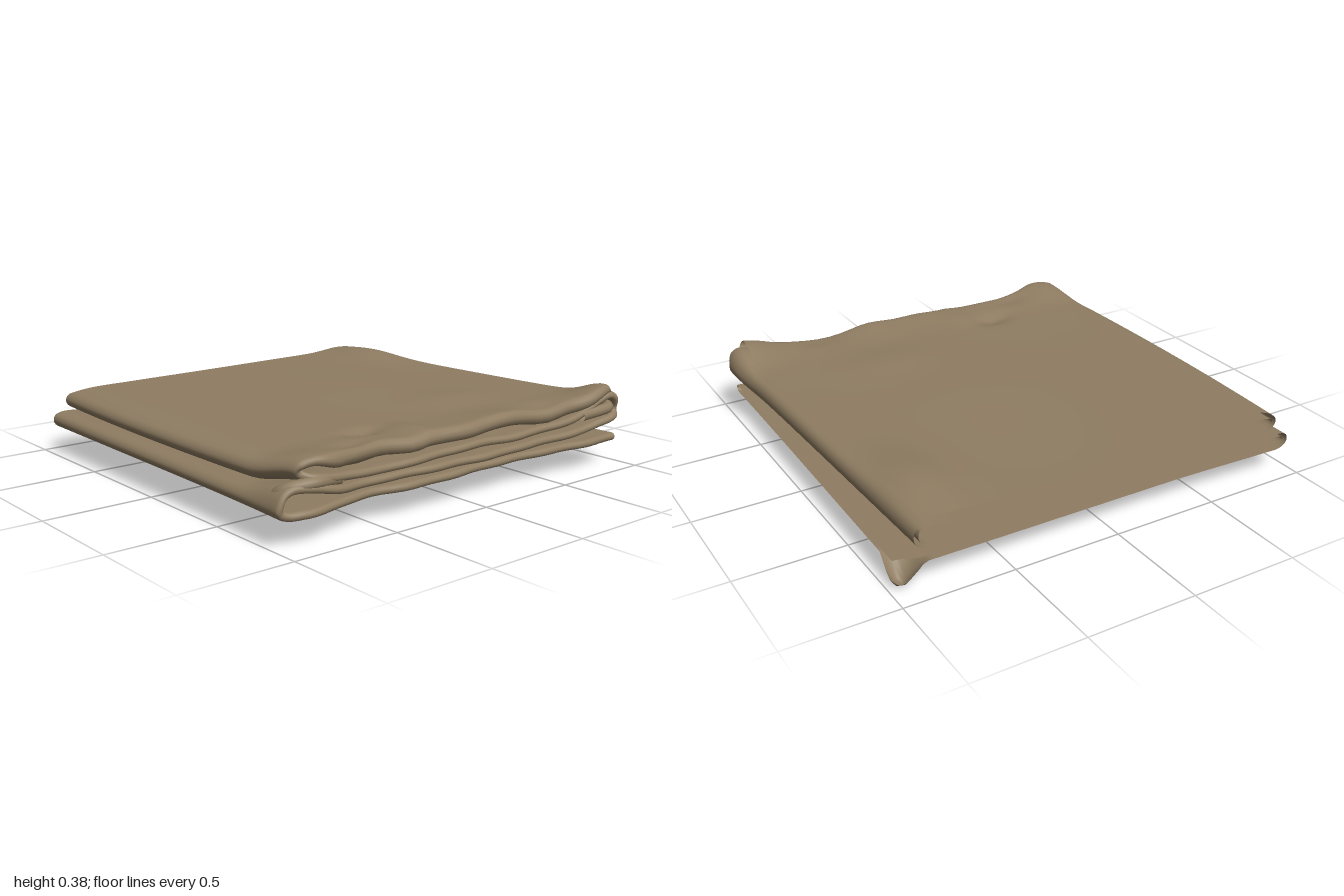
import * as THREE from 'three';

const cloth = new THREE.MeshStandardMaterial({ color: 0x8f7d62, side: THREE.DoubleSide });
cloth.name = 'tan cloth';

const { lerp, smoothstep, clamp } = THREE.MathUtils;
// soft round bump of height 1 centred on (cx, cz)
const bump = (x, z, cx, cz, rx, rz) => Math.exp(-(((x - cx) / rx) ** 2) - ((z - cz) / rz) ** 2);

// zigzag path of the folded cloth seen from the side, as [z, y]
const zigzag = [
  [-0.97, 0.125], [-0.9, 0.125], [-0.75, 0.125], [-0.5, 0.124], [-0.2, 0.124], [0.1, 0.124], [0.4, 0.124],
  [0.7, 0.125], [0.87, 0.125], [0.93, 0.125],
  [0.962, 0.137], [0.972, 0.154], [0.962, 0.172], [0.93, 0.183],            // lower front fold
  [0.85, 0.182], [0.6, 0.174], [0.3, 0.17], [0, 0.169], [-0.3, 0.169], [-0.6, 0.171], [-0.8, 0.178], [-0.86, 0.185],
  [-0.89, 0.2], [-0.9, 0.23], [-0.89, 0.258], [-0.86, 0.27],                // back fold
  [-0.78, 0.262], [-0.6, 0.238], [-0.3, 0.224], [0, 0.22], [0.3, 0.218], [0.6, 0.217], [0.8, 0.216], [0.88, 0.217],
  [0.913, 0.23], [0.924, 0.25], [0.913, 0.27], [0.88, 0.283],               // upper front fold
  [0.8, 0.292], [0.6, 0.294], [0.3, 0.295], [0, 0.296], [-0.3, 0.298], [-0.6, 0.3], [-0.75, 0.302], [-0.835, 0.302],
];

// open side: edges of the two sheets, stepped inwards on the top layer
function openEdge(z, layer, side) {
  const low = 1 - smoothstep(layer, 0.4, 0.6), top = smoothstep(layer, 0.85, 1);
  return -0.915 - 0.02 * low * smoothstep(z, 0.3, 0.95) + 0.014 * top * (1 + side) - 0.004 * side * low
    + 0.035 * smoothstep(-z, 0.85, 0.97) * (1 - smoothstep(layer, 0.1, 0.3));
}

// closed side: wandering outline of the folds
function closedEdge(z, layer) {
  return 0.862 + 0.045 * bump(0, z, 0, 0.8, 1, 0.13) + 0.032 * bump(0, z, 0, -0.9, 1, 0.25)
    - 0.015 * bump(0, z, 0, 0.5, 1, 0.12) - 0.022 * layer * layer + 0.009 * Math.sin(z * 7 + layer * 8);
}

// creases, sags and bulges of the pile
function rumple(p, layer) {
  let { x, y, z } = p;
  const top = smoothstep(layer, 0.6, 1), low = 1 - smoothstep(layer, 0, 0.25);
  const upper = smoothstep(layer, 0.15, 0.4);
  const side = smoothstep(x, 0.6, 0.88);
  const back = smoothstep(-z, 0.3, 0.85), front = smoothstep(z, 0.5, 0.9);

  // skewed back edge and bowed front edge
  z -= upper * back * (0.025 + 0.035 * x + 0.025 * bump(x, 0, 0.83, 0, 0.15, 1));
  z -= smoothstep(layer, 0.9, 1) * back * 0.033 * (1 + x) * (1 - 0.8 * smoothstep(x, 0.6, 0.85));
  z += (1 - upper) * back * 0.012 * x;
  z += front * smoothstep(layer, 0.4, 0.6) * (0.012 - 0.035 * x * x - 0.022 * bump(x, 0, 0.88, 0, 0.2, 1));
  z += front * (1 - upper) * 0.008 * x;

  // rising corners of the closed side
  y += upper * side * (0.045 - 0.02 * top) * bump(0, z, 0, 0.88, 1, 0.17);
  y += upper * 0.04 * bump(x, z, 0.86, -0.92, 0.14, 0.14);

  // wrinkles running along the closed side
  const wave = Math.sin(z * 8 + layer * 3) + 0.6 * Math.sin(z * 17 + layer * 6);
  y += side * upper * (0.003 + 0.004 * top) * (wave + 1.5 * top);
  x += side * 0.005 * Math.sin(z * 23 + layer * 14);

  // top panel
  y += top * (0.034 * bump(x, z, -0.65, -0.76, 0.25, 0.13) + 0.012 * bump(x, z, 0, -0.2, 0.5, 0.3)
    + 0.018 * bump(x, z, 0.74, 0.2, 0.12, 0.05) - 0.024 * bump(x, z, 0.63, 0.36, 0.05, 0.08)
    + 0.012 * bump(x, z, 0.42, -0.35, 0.14, 0.2) - 0.018 * bump(x, z, 0.8, 0.55, 0.05, 0.1)
    - 0.015 * bump(x, z, 0.83, -0.55, 0.06, 0.1));

  // bottom panel
  y -= low * (0.036 * bump(x, z, 0, -0.35, 0.3, 0.25) + 0.02 * bump(x, z, 0.35, 0.4, 0.2, 0.2)
    + 0.016 * bump(x, z, -0.3, 0.3, 0.25, 0.3) + 0.034 * bump(x, z, 0.4, -0.4, 0.18, 0.2));
  return p.set(x, y, z);
}

// double cloth swept along the zigzag, closed by a fold on the left
function foldedCloth() {
  const curve = new THREE.CatmullRomCurve3(zigzag.map(([z, y]) => new THREE.Vector3(0, y, z)), false, 'centripetal');
  const across = 60, turn = 6, along = (zigzag.length - 1) * 6;

  // cross-section: outer layer, rounded turn, inner layer
  const section = [];
  for (let i = 0; i <= across; i++) section.push({ a: i / across, side: 1, out: 0 });
  for (let i = 1; i < turn; i++) {
    const t = (i / turn) * Math.PI;
    section.push({ a: 1, side: Math.cos(t), out: Math.sin(t) });
  }
  for (let i = across; i >= 0; i--) section.push({ a: i / across, side: -1, out: 0 });

  const pos = [], index = [], p = new THREE.Vector3();
  for (let j = 0; j <= along; j++) {
    const c = curve.getPoint(j / along), d = curve.getTangent(j / along);
    const layer = clamp((c.y - 0.125) / 0.165, 0, 1);
    const puff = smoothstep(layer, 0.85, 1) * (1 - smoothstep(Math.abs(c.z), 0.7, 0.9));
    for (const { a, side, out } of section) {
      // the top layer hangs in a thick roll along the closed side
      const half = 0.01 + 0.008 * a ** 6 + puff * 0.016 * a ** 10;
      const drop = puff * 0.012 * a ** 10;
      const x = lerp(openEdge(c.z, layer, side), closedEdge(c.z, layer), a) + out * half;
      // the two sheets end a little apart at the back
      const ends = j > along - 8 ? 0.012 * side : 0;
      p.set(x, c.y - drop - side * half * d.z, c.z + side * half * d.y + ends);
      rumple(p, layer);
      // drooping corner of the lowest sheet
      if (j < 30 && side > 0.5) {
        const r = Math.hypot(p.x + 0.86, p.z + 0.94);
        p.y -= Math.min(0.115, 0.14 * Math.max(0, 1 - r / 0.1));
      }
      pos.push(p.x, p.y, p.z);
    }
  }
  const n = section.length;
  for (let j = 0; j < along; j++) {
    for (let i = 0; i < n - 1; i++) {
      const q = j * n + i;
      index.push(q, q + 1, q + n, q + 1, q + n + 1, q + n);
    }
  }
  const geo = new THREE.BufferGeometry();
  geo.setAttribute('position', new THREE.Float32BufferAttribute(pos, 3));
  geo.setIndex(index);
  geo.computeVertexNormals();
  return geo;
}

// crumpled tuck bunched at a corner of the closed side
function tuck(name, points, radius) {
  const path = new THREE.CatmullRomCurve3(points.map((q) => new THREE.Vector3(...q)));
  const mesh = new THREE.Mesh(new THREE.TubeGeometry(path, 24, radius, 10, false), cloth);
  mesh.name = name;
  return mesh;
}

export function createModel() {
  const group = new THREE.Group();
  group.name = 'foldedBlanket';

  const blanket = new THREE.Mesh(foldedCloth(), cloth);
  blanket.name = 'foldedCloth';
  group.add(blanket);

  group.add(
    tuck('frontCornerTuck', [[0.78, 0.17, 0.95], [0.85, 0.22, 0.93], [0.9, 0.24, 0.82], [0.86, 0.22, 0.68]], 0.026),
    tuck('backCornerTuck', [[0.7, 0.25, -0.92], [0.82, 0.27, -0.955], [0.885, 0.27, -0.92], [0.87, 0.25, -0.75]], 0.026),
  );
  return group;
}
